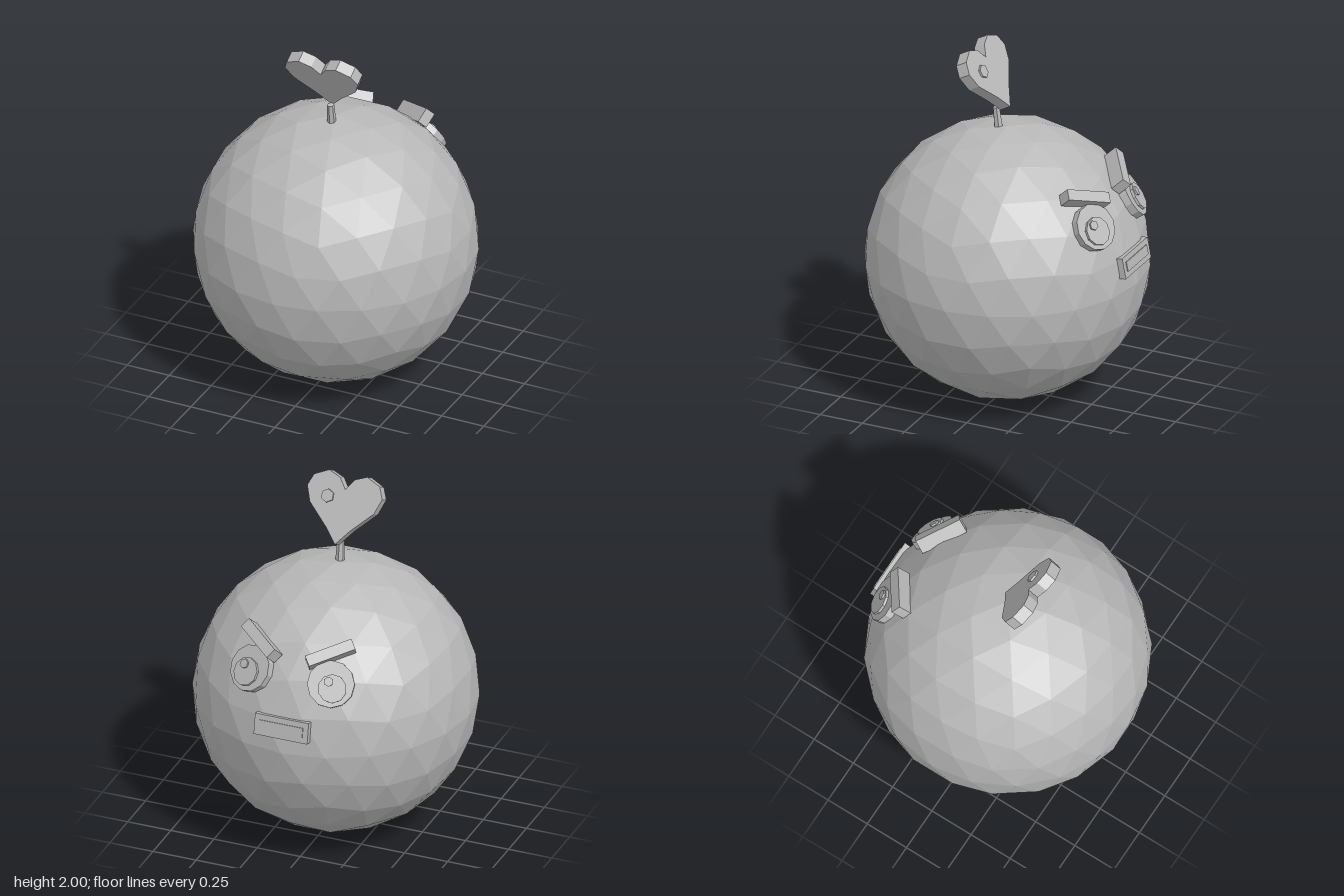
import * as THREE from 'three';

const grey = new THREE.MeshStandardMaterial({ color: 0xb8b8b8 });
grey.name = 'plainGrey';

const CENTRE = new THREE.Vector3(0, 0.774, 0);
const RADIUS = 0.772;

// Faceted mesh: split vertices so that every face gets its own normal
function part(name, geometry) {
  const flat = geometry.index ? geometry.toNonIndexed() : geometry;
  flat.computeVertexNormals();
  const mesh = new THREE.Mesh(flat, grey);
  mesh.name = name;
  return mesh;
}

// Disc lying in the xy plane, from z0 to z1
function disc(name, radius, sides, z0, z1, x = 0, y = 0) {
  const g = new THREE.CylinderGeometry(radius, radius, z1 - z0, sides);
  g.rotateX(Math.PI / 2).translate(x, y, (z0 + z1) / 2);
  return part(name, g);
}

// Group on the body whose local z points outwards and local x follows `along`
function onBody(name, offset, along) {
  const n = offset.clone().normalize();
  const x = along.clone().addScaledVector(n, -along.dot(n)).normalize();
  const y = n.clone().cross(x);
  const group = new THREE.Group();
  group.name = name;
  group.quaternion.setFromRotationMatrix(new THREE.Matrix4().makeBasis(x, y, n));
  group.position.copy(CENTRE);
  return group;
}

// Geodesic ball: icosahedron with vertices at the poles, halved twice
function ball() {
  const v = [0, 1, 0];
  for (let ring = 0; ring < 2; ring++) {
    for (let k = 0; k < 5; k++) {
      const a = (k + ring / 2) * Math.PI * 0.4;
      v.push(0.8944 * Math.cos(a), ring ? -0.4472 : 0.4472, 0.8944 * Math.sin(a));
    }
  }
  v.push(0, -1, 0);
  const faces = [];
  for (let k = 0; k < 5; k++) {
    const u0 = 1 + k, u1 = 1 + (k + 1) % 5, l0 = 6 + k, l1 = 6 + (k + 1) % 5;
    faces.push(0, u1, u0, u0, u1, l0, u1, l1, l0, 11, l0, l1);
  }
  const once = new THREE.PolyhedronGeometry(v, faces, 1, 1).attributes.position;
  const order = Array.from({ length: once.count }, (_, i) => i);
  return new THREE.PolyhedronGeometry(Array.from(once.array), order, RADIUS, 1);
}

function createHeart() {
  const half = [[0.07, 0.085], [0.185, 0.2], [0.217, 0.285], [0.19, 0.35], [0.11, 0.388], [0.042, 0.36]];
  const outline = [[0, 0], ...half, [0, 0.3], ...half.map(([x, y]) => [-x, y]).reverse()];
  const shape = new THREE.Shape(outline.map(([x, y]) => new THREE.Vector2(x, y)));
  const g = new THREE.ExtrudeGeometry(shape, { depth: 0.068, bevelEnabled: false });
  g.translate(0, 0, -0.068);

  const group = new THREE.Group();
  group.name = 'heart';
  group.add(part('heartPlate', g));
  group.add(disc('heartStud', 0.037, 6, -0.08, -0.06, 0.09, 0.25));
  group.position.set(0, 1.632, 0.042);
  group.rotation.x = 0.51;
  return group;
}

export function createModel() {
  const model = new THREE.Group();
  model.name = 'roundCreature';

  const body = part('body', ball());
  body.position.copy(CENTRE);
  model.add(body);

  // Stem and heart on top
  const stem = part('stem', new THREE.CylinderGeometry(0.02, 0.026, 0.14, 6));
  stem.position.set(0, 1.575, 0.059);
  stem.rotation.x = 0.12;
  model.add(stem, createHeart());

  // Eyes and slanted brows, one pair on each side
  for (const s of [1, -1]) {
    const side = s > 0 ? 'left' : 'right';
    const eye = onBody(side + 'Eye', new THREE.Vector3(s * 0.235, 0.406, -0.64), new THREE.Vector3(-0.94, 0, -0.345 * s));
    eye.add(
      disc('eyeball', 0.128, 12, 0.735, 0.795),
      disc('pupil', 0.078, 10, 0.78, 0.81, -s * 0.008, -0.025),
      disc('glint', 0.027, 6, 0.8, 0.82, -0.02 - s * 0.008, 0.012),
    );
    model.add(eye);

    const brow = onBody(side + 'Brow', new THREE.Vector3(s * 0.2, 0.541, -0.56), new THREE.Vector3(-s * 0.225, -0.085, -0.15));
    const bar = part('browBar', new THREE.BoxGeometry(0.265, 0.062, 0.085));
    bar.position.z = 0.8;
    brow.add(bar);
    model.add(brow);
  }

  // Mouth with a slightly raised strip
  const mouth = onBody('mouth', new THREE.Vector3(0, 0.148, -0.765), new THREE.Vector3(-1, 0, 0));
  const lips = part('mouthPlate', new THREE.BoxGeometry(0.31, 0.118, 0.05));
  lips.position.z = 0.758;
  const strip = part('mouthStrip', new THREE.BoxGeometry(0.25, 0.055, 0.008));
  strip.position.z = 0.784;
  mouth.add(lips, strip);
  model.add(mouth);

  return model;
}
